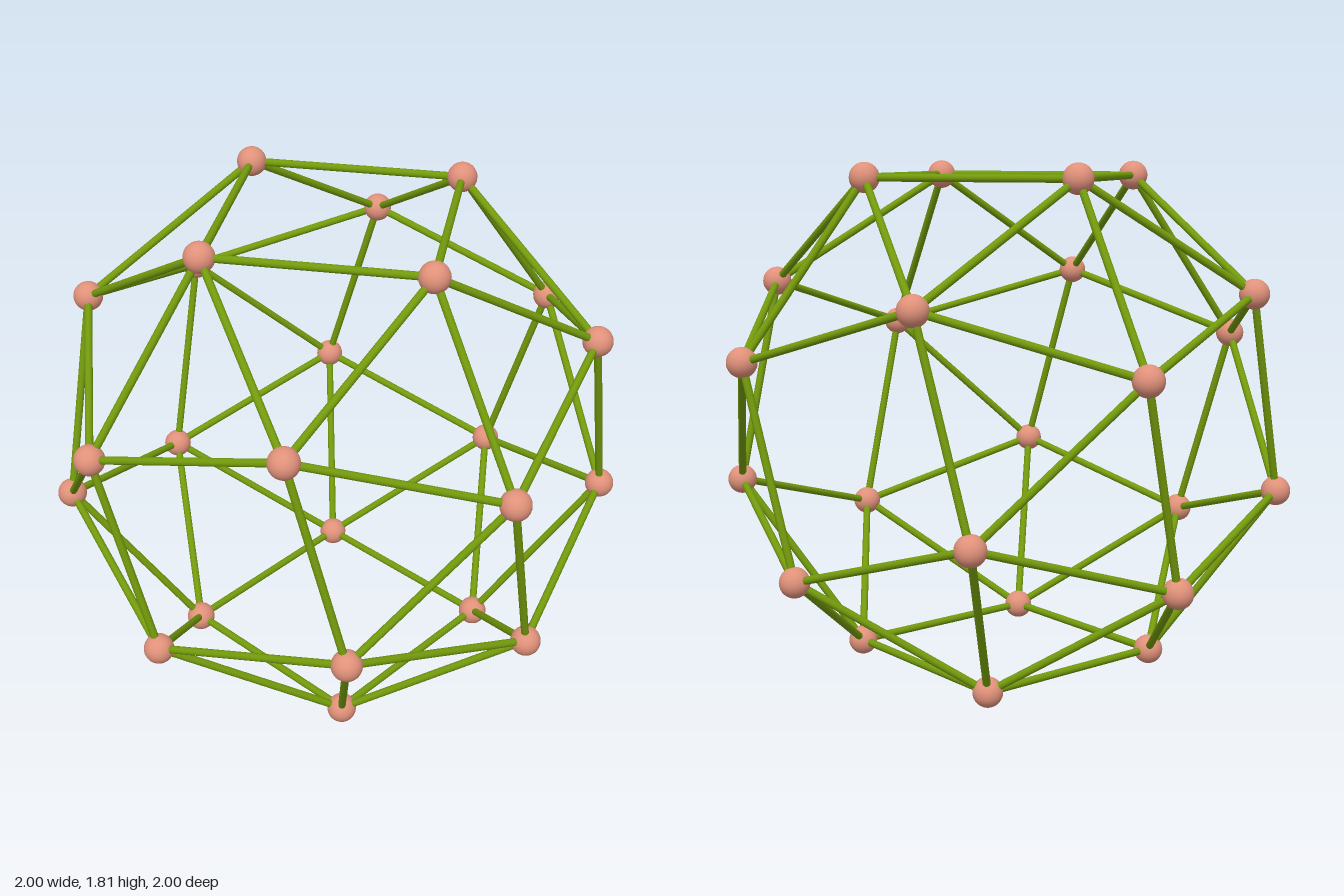
import * as THREE from 'three';

const BALL = 0.052, ROD = 0.0135;
const T = 1.8393;   // tribonacci constant: proportions of a snub cube
const S = 0.4632;   // scale

export function createModel() {
  const group = new THREE.Group();
  group.name = 'snubCubeFrame';
  const ballMat = new THREE.MeshStandardMaterial({ color: 0xe0917a });
  const rodMat = new THREE.MeshStandardMaterial({ color: 0x739a0c });

  // Six rings of four corners: [height, radius, angle in degrees]
  const near = Math.hypot(1, 1 / T), mid = Math.hypot(T, 1 / T), far = Math.hypot(1, T);
  const rings = [
    [-T, near, 45], [-1, mid, 0], [-1 / T, far, 45],
    [1 / T, far, 12.1], [1, mid, 57.1], [T, near, 12.1],
  ];
  const corners = [];
  for (const [h, r, deg] of rings) {
    for (let i = 0; i < 4; i++) {
      const a = THREE.MathUtils.degToRad(deg + 90 * i);
      corners.push(new THREE.Vector3(r * S * Math.cos(a), BALL + (T + h) * S, r * S * Math.sin(a)));
    }
  }

  // Balls at the corners
  const ballGeo = new THREE.SphereGeometry(BALL, 24, 16);
  for (const p of corners) {
    const ball = new THREE.Mesh(ballGeo, ballMat);
    ball.name = 'cornerBall';
    ball.position.copy(p);
    group.add(ball);
  }

  // Rods between neighbouring corners, all of one edge length
  const edge = Math.SQRT2 * near * S;
  const rodGeo = new THREE.CylinderGeometry(ROD, ROD, 1, 12);
  const up = new THREE.Vector3(0, 1, 0);
  corners.forEach((a, i) => {
    for (const b of corners.slice(i + 1)) {
      const length = a.distanceTo(b);
      if (length > edge * 1.08) continue;
      const rod = new THREE.Mesh(rodGeo, rodMat);
      rod.name = 'edgeRod';
      rod.position.addVectors(a, b).multiplyScalar(0.5);
      rod.quaternion.setFromUnitVectors(up, b.clone().sub(a).normalize());
      rod.scale.y = length;
      group.add(rod);
    }
  });
  return group;
}
